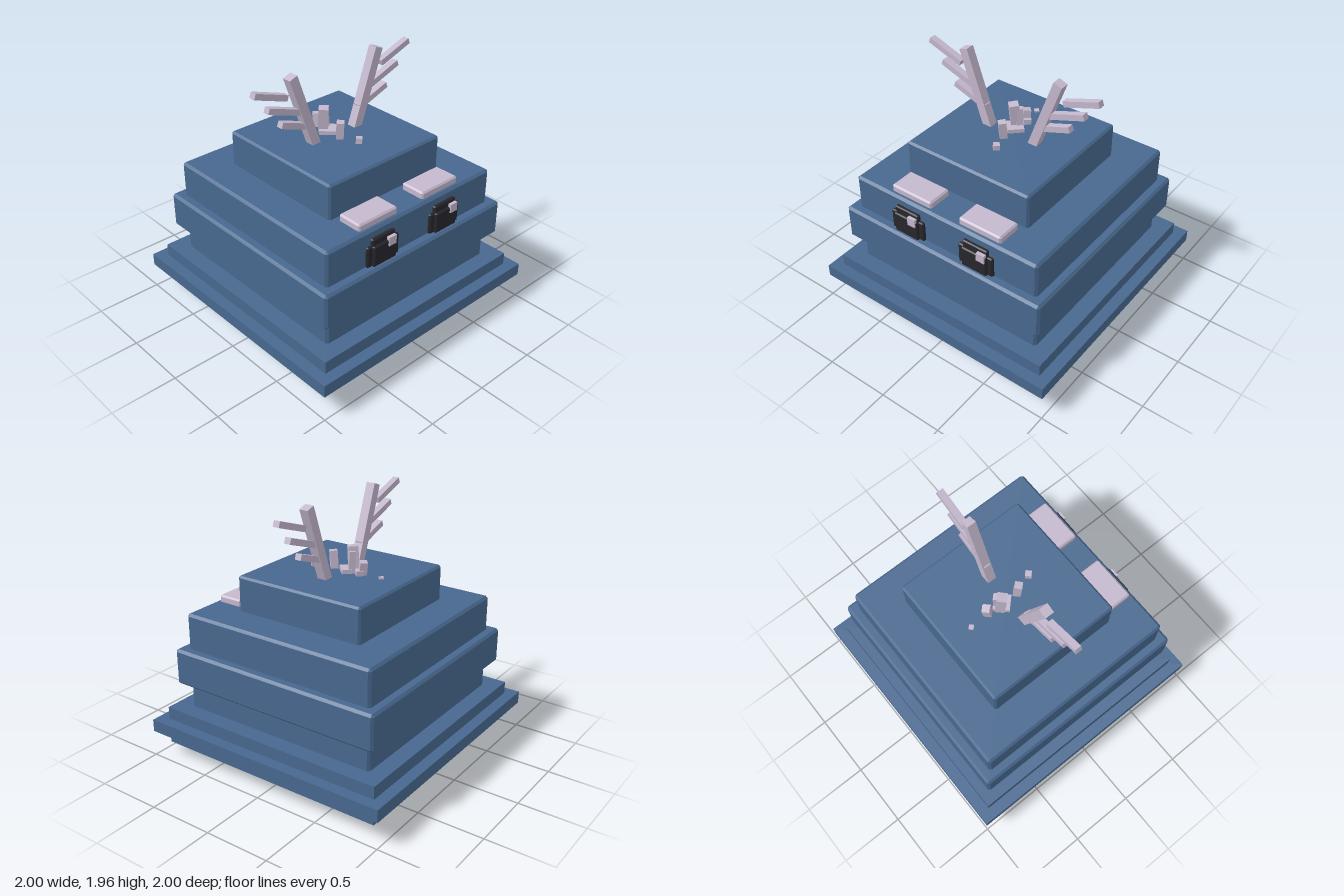
import * as THREE from 'three';
import { ConvexGeometry } from 'three/addons/geometries/ConvexGeometry.js';

const material = (name, color) => {
  const m = new THREE.MeshStandardMaterial({ color });
  m.name = name;
  return m;
};

// Box with every edge cut by a flat chamfer c
function chamferBox(w, h, d, c) {
  const pts = [];
  for (const sx of [-1, 1]) for (const sy of [-1, 1]) for (const sz of [-1, 1]) {
    const x = w / 2, y = h / 2, z = d / 2;
    pts.push(
      new THREE.Vector3(sx * x, sy * (y - c), sz * (z - c)),
      new THREE.Vector3(sx * (x - c), sy * y, sz * (z - c)),
      new THREE.Vector3(sx * (x - c), sy * (y - c), sz * z));
  }
  return new ConvexGeometry(pts);
}

export function createModel() {
  const blue = material('slate blue', 0x48688f);
  const lilac = material('pale lilac', 0xc4b8cd);
  const black = material('soft black', 0x27262c);
  const model = new THREE.Group();
  model.name = 'antleredCreature';

  // Adds a box given by its lower and upper corners
  function block(name, mat, x0, x1, y0, y1, z0, z1, c = 0, parent = model) {
    const size = [x1 - x0, y1 - y0, z1 - z0];
    const geo = c ? chamferBox(...size, c) : new THREE.BoxGeometry(...size);
    const mesh = new THREE.Mesh(geo, mat);
    mesh.name = name;
    mesh.position.set((x0 + x1) / 2, (y0 + y1) / 2, (z0 + z1) / 2);
    parent.add(mesh);
    return mesh;
  }

  // Stacked square tiers: name, half width, bottom, top, chamfer
  const tiers = [
    ['base', 0.61, 0, 0.1, 0],
    ['lowerSkirt', 0.915, 0.1, 0.2, 0],
    ['brim', 1, 0.2, 0.295, 0],
    ['upperSkirt', 0.915, 0.295, 0.39, 0],
    ['lowerBody', 0.79, 0.37, 0.6, 0.018],
    ['belly', 0.86, 0.58, 0.855, 0.018],
    ['face', 0.79, 0.835, 1.125, 0.018],
    ['crown', 0.525, 1.105, 1.39, 0.015],
  ];
  for (const [name, r, y0, y1, c] of tiers) block(name, blue, -r, r, y0, y1, -r, r, c);

  // Stepped feet under the skirt
  for (const [x, z] of [[0.67, -0.37], [-0.51, -0.57], [-0.375, 0.455]]) {
    const foot = new THREE.Group();
    foot.name = 'foot';
    foot.position.set(x, 0, z);
    model.add(foot);
    block('footUpper', blue, -0.19, 0.19, 0.07, 0.13, -0.19, 0.19, 0.012, foot);
    block('footLower', blue, -0.13, 0.13, 0.035, 0.13, -0.13, 0.13, 0.012, foot);
  }

  // Eyes, glints and brows
  for (const s of [-1, 1]) {
    const eye = new THREE.Group();
    eye.name = s > 0 ? 'leftEye' : 'rightEye';
    eye.position.x = s * 0.3;
    model.add(eye);
    block('eyeWide', black, -0.145, 0.145, 0.85, 1.01, 0.76, 0.812, 0.008, eye);
    block('eyeTall', black, -0.105, 0.105, 0.85, 1.06, 0.76, 0.815, 0.008, eye);
    block('eyeFront', black, -0.105, 0.105, 0.85, 1.01, 0.76, 0.832, 0.008, eye);
    const g = s > 0 ? 0.33 : -0.275;
    block('eyeGlint', lilac, g, g + 0.067, 0.967, 1.033, 0.8, 0.84);
    block('brow', lilac, s * 0.298 - 0.177, s * 0.298 + 0.177, 1.115, 1.178, 0.56, 0.757, 0.012);
  }

  // Antlers: one leaning beam with three tines on the outside
  const tilt = THREE.MathUtils.degToRad(19.5);
  for (const s of [-1, 1]) {
    const antler = new THREE.Group();
    antler.name = s > 0 ? 'leftAntler' : 'rightAntler';
    model.add(antler);
    const beam = block('antlerBeam', lilac, -0.035, 0.035, -0.32, 0.32, -0.035, 0.035, 0, antler);
    beam.position.set(s * 0.289, 1.643, 0);
    beam.rotation.z = -s * tilt;
    for (let i = 0; i < 3; i++) {
      const tine = block('antlerTine', lilac, -0.145, 0.145, -0.022, 0.022, -0.025, 0.025, 0, antler);
      tine.position.set(s * (0.356 + 0.109 * i), 1.577 + 0.141 * i, 0);
      tine.rotation.z = s * tilt;
    }
  }

  // Tuft of diamond-turned blocks: x, z, side, top, lean x, lean z
  const tuft = [
    [-0.02, -0.33, 0.035, 1.402, 0, 0.08],
    [-0.01, -0.18, 0.055, 1.49, -0.08, -0.08],
    [0.01, -0.165, 0.055, 1.43, 0, -0.1],
    [-0.015, -0.055, 0.12, 1.42, 0, 0],
    [-0.035, -0.08, 0.07, 1.58, 0.04, 0.06],
    [0, -0.09, 0.045, 1.55, -0.06, 0.04],
    [-0.02, 0.08, 0.055, 1.52, 0.06, 0.04],
    [0.03, 0.22, 0.045, 1.43, 0.05, -0.1],
  ];
  for (const [x, z, side, top, rx, rz] of tuft) {
    const r = side / 2;
    const lock = block('tuftBlock', lilac, x - r, x + r, 1.365, top, z - r, z + r);
    lock.rotation.set(rx, Math.PI / 4, rz);
  }

  return model;
}
